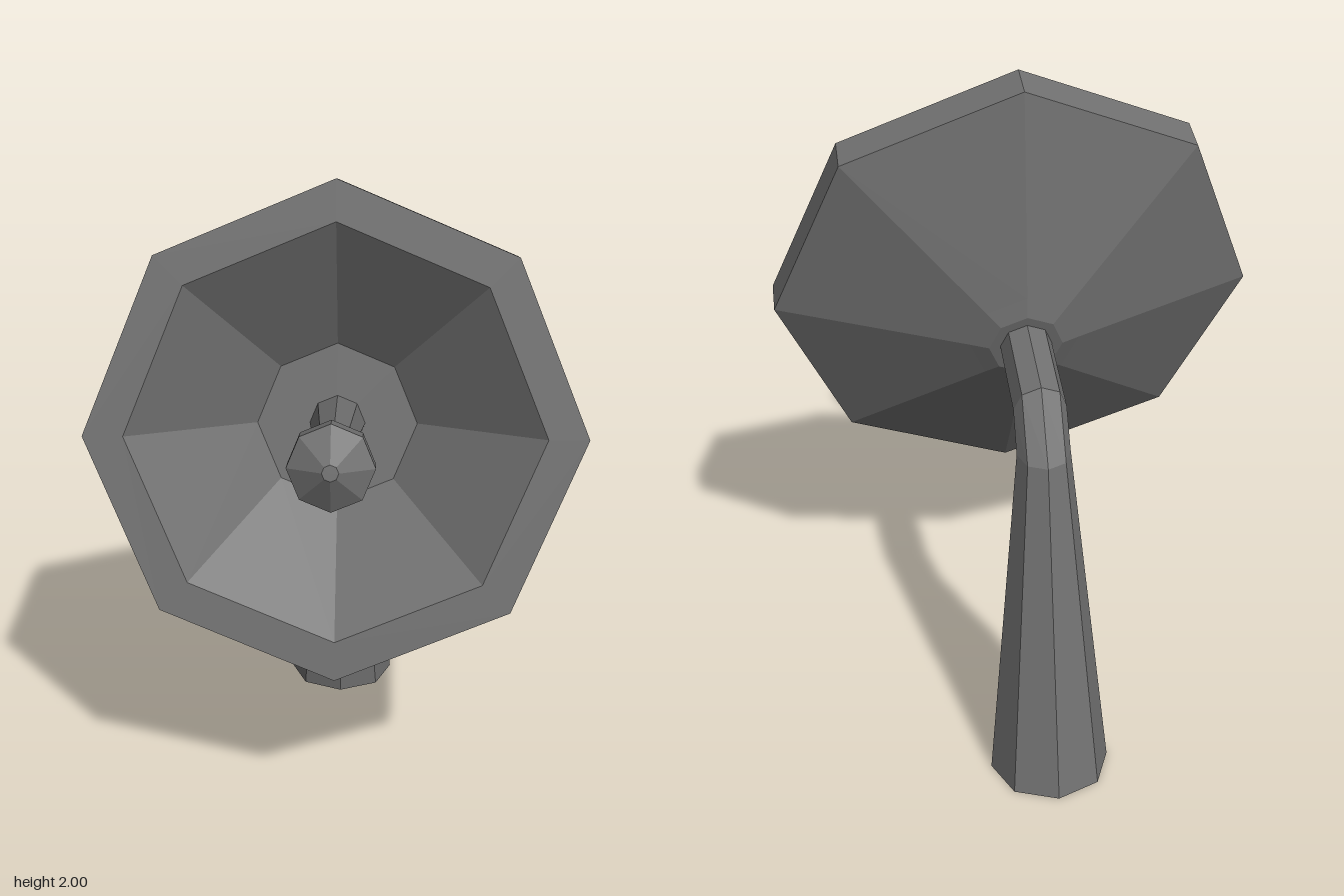
import * as THREE from 'three';

const SIDES = 8;
const material = new THREE.MeshStandardMaterial({ color: 0x6f6f6f, flatShading: true });

// Eight-sided turned part whose axis runs along +z; profile is [radius, z] pairs
function turned(name, profile) {
  const geometry = new THREE.LatheGeometry(profile.map(([r, z]) => new THREE.Vector2(r, z)), SIDES);
  geometry.rotateX(Math.PI / 2);
  const mesh = new THREE.Mesh(geometry, material);
  mesh.name = name;
  return mesh;
}

// Bent pole lofted through rings lying across the yz plane.
// Each ring: centre y, z, half width in x, and the y, z of its upper / rear half axis
function loft(name, rings) {
  const positions = [];
  const index = [];
  for (const { y, z, r, vy, vz } of rings) {
    for (let i = 0; i < SIDES; i++) {
      const a = (i / SIDES) * Math.PI * 2;
      positions.push(r * Math.cos(a), y + vy * Math.sin(a), z + vz * Math.sin(a));
    }
  }
  for (let k = 0; k < rings.length - 1; k++) {
    for (let i = 0; i < SIDES; i++) {
      const j = (i + 1) % SIDES;
      const a = k * SIDES + i, b = k * SIDES + j;
      index.push(a, b + SIDES, b, a, a + SIDES, b + SIDES);
    }
  }
  // End caps
  const last = (rings.length - 1) * SIDES;
  for (let i = 1; i < SIDES - 1; i++) {
    index.push(0, i, i + 1);
    index.push(last, last + i + 1, last + i);
  }
  const geometry = new THREE.BufferGeometry();
  geometry.setAttribute('position', new THREE.Float32BufferAttribute(positions, 3));
  geometry.setIndex(index);
  geometry.computeVertexNormals();
  const mesh = new THREE.Mesh(geometry, material);
  mesh.name = name;
  return mesh;
}

export function createModel() {
  const model = new THREE.Group();
  model.name = 'satelliteDish';

  // Everything is turned slightly toward +x about the dish centre
  const assembly = new THREE.Group();
  assembly.name = 'turnedAssembly';
  assembly.position.set(0.004, 0, 0.228);
  assembly.rotation.y = THREE.MathUtils.degToRad(5);
  model.add(assembly);

  // Head tilted upward, origin at the centre of the front rim
  const head = new THREE.Group();
  head.name = 'head';
  head.position.y = 1.298;
  head.rotation.x = THREE.MathUtils.degToRad(-15);
  assembly.add(head);

  head.add(
    // Outer shell with a small stepped hub, flat rim and hollow bowl with a flat floor
    turned('dish', [
      [0, -0.347], [0.11, -0.347], [0.165, -0.325], [0.728, -0.11],
      [0.728, 0], [0.61, 0], [0.243, -0.28], [0, -0.28],
    ]),
    turned('feedRod', [[0, -0.29], [0.085, -0.29], [0.035, 0.4], [0, 0.4]]),
    turned('feedCap', [
      [0, 0.388], [0.116, 0.388], [0.116, 0.455], [0.022, 0.522], [0, 0.522],
    ]),
  );

  // Neck, elbow and widening post down to the ground
  assembly.add(loft('supportPole', [
    { y: 1.22, z: -0.31, r: 0.077, vy: 0.074, vz: -0.02 },
    { y: 1.14, z: -0.58, r: 0.077, vy: 0.075, vz: -0.017 },
    { y: 1.03, z: -0.646, r: 0.078, vy: -0.01, vz: -0.075 },
    { y: 0, z: -0.802, r: 0.181, vy: 0, vz: -0.167 },
  ]));

  return model;
}
